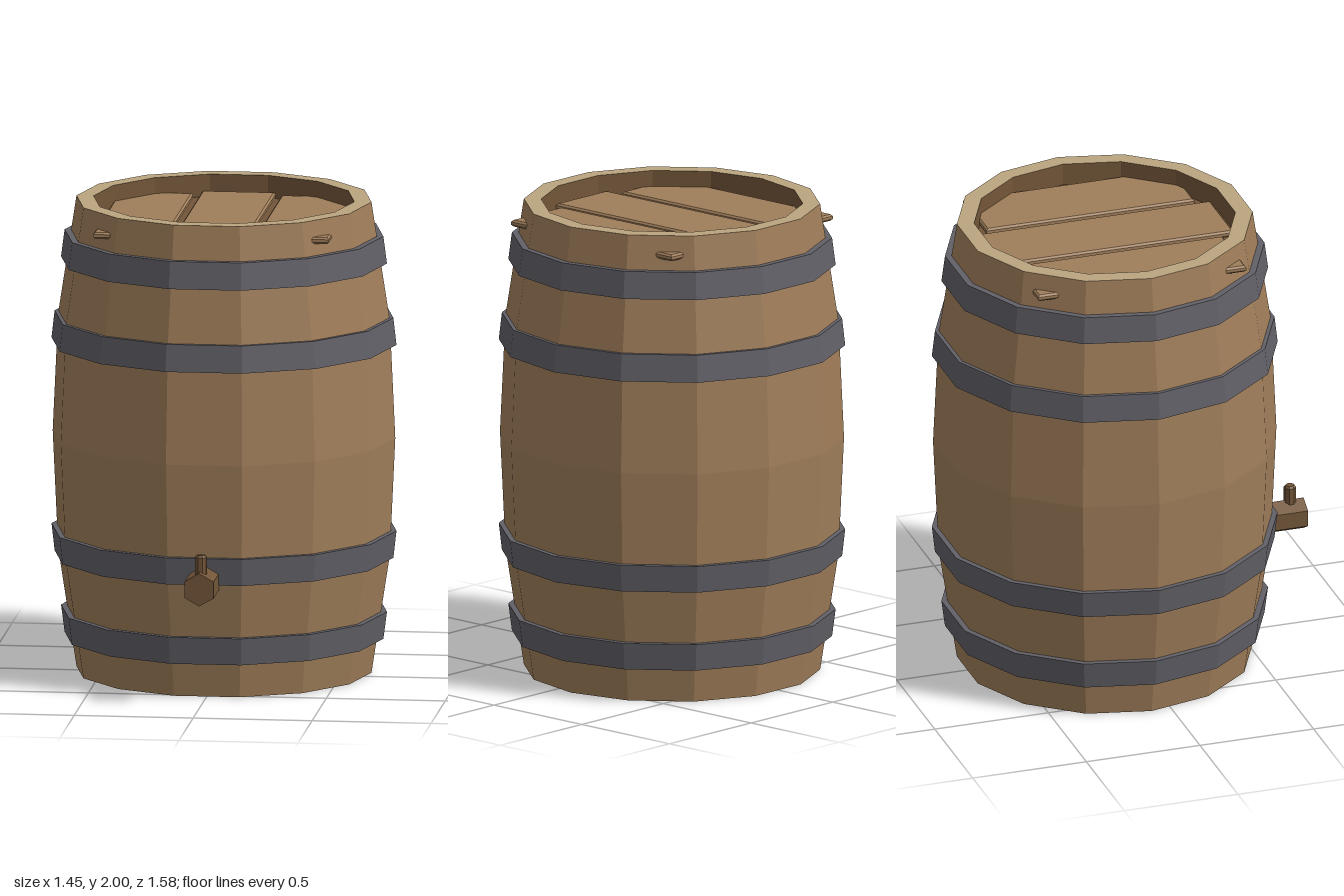
import * as THREE from 'three';

const SIDES = 14;
const AXIS_Z = -0.085; // the tap at the front pushes the barrel axis back

const flat = (name, color) => new THREE.MeshStandardMaterial({ name, color, flatShading: true });

export function createModel() {
  const wood = flat('stave wood', 0xa07e5a);
  const paleWood = flat('cut rim wood', 0xbca580);
  const darkWood = flat('dark wood', 0x735639);
  const iron = flat('hoop iron', 0x616067);

  const model = new THREE.Group();
  model.name = 'barrel';
  const cask = new THREE.Group();
  cask.name = 'cask';
  cask.position.z = AXIS_Z;
  model.add(cask);

  const add = (parent, name, geometry, material, x = 0, y = 0, z = 0) => {
    const mesh = new THREE.Mesh(geometry, material);
    mesh.name = name;
    mesh.position.set(x, y, z);
    parent.add(mesh);
    return mesh;
  };

  // Faceted ring from a [radius, height] profile, with corners on the x axis
  const turn = (name, profile, material) => {
    const points = profile.map(([r, y]) => new THREE.Vector2(r, y));
    const geometry = new THREE.LatheGeometry(points, SIDES, Math.PI / 2).toNonIndexed();
    geometry.computeVertexNormals();
    return add(cask, name, geometry, material);
  };

  // Bulging staves with closed bottom, cut rim, inner wall and lid floor
  turn('staves', [[0, 0], [0.62, 0], [0.697, 0.5], [0.72, 1], [0.697, 1.5], [0.62, 2]], wood);
  turn('rim', [[0.62, 2], [0.548, 2]], paleWood);
  turn('lidRecess', [[0.548, 2], [0.548, 1.905], [0, 1.905]], darkWood);

  // Iron hoops, mirrored about the middle of the barrel
  const hoops = [
    { near: 0.145, far: 0.26, rNear: 0.67, rFar: 0.685 },
    { near: 0.49, far: 0.605, rNear: 0.712, rFar: 0.725 },
  ];
  for (const { near, far, rNear, rFar } of hoops) {
    const inner = rNear - 0.05;
    turn('lowerHoop', [[inner, near], [rNear, near], [rFar, far], [inner, far], [inner, near]], iron);
    turn('upperHoop', [[inner, 2 - far], [rFar, 2 - far], [rNear, 2 - near], [inner, 2 - near], [inner, 2 - far]], iron);
  }

  // Bevelled lid planks; the corners of the outer two poke through the staves
  const plank = (name, x, width, length) => {
    const b = 0.008;
    const w = width / 2 - b, l = length / 2 - b;
    const shape = new THREE.Shape([
      new THREE.Vector2(-w, -l), new THREE.Vector2(w, -l),
      new THREE.Vector2(w, l), new THREE.Vector2(-w, l),
    ]);
    const geometry = new THREE.ExtrudeGeometry(shape, {
      depth: 0.012, bevelEnabled: true, bevelThickness: b, bevelSize: b, bevelSegments: 1,
    });
    geometry.rotateX(-Math.PI / 2);
    add(cask, name, geometry, wood, x, 1.912, 0);
  };
  plank('middlePlank', 0, 0.31, 1.035);
  for (const side of [-1, 1]) plank('sidePlank', side * 0.34, 0.31, 0.915);

  // Hexagonal tap and its peg handle
  const tap = new THREE.Group();
  tap.name = 'tap';
  model.add(tap);
  const spout = new THREE.CylinderGeometry(0.07, 0.07, 0.29, 6);
  spout.rotateX(Math.PI / 2);
  add(tap, 'spout', spout, darkWood, 0, 0.504, 0.645);
  const peg = new THREE.LatheGeometry(
    [[0, 0.52], [0.026, 0.52], [0.026, 0.632], [0.018, 0.642], [0, 0.642]]
      .map(([r, y]) => new THREE.Vector2(r, y)), 8, Math.PI / 8);
  add(tap, 'handle', peg, darkWood, 0, 0, 0.73);

  return model;
}
